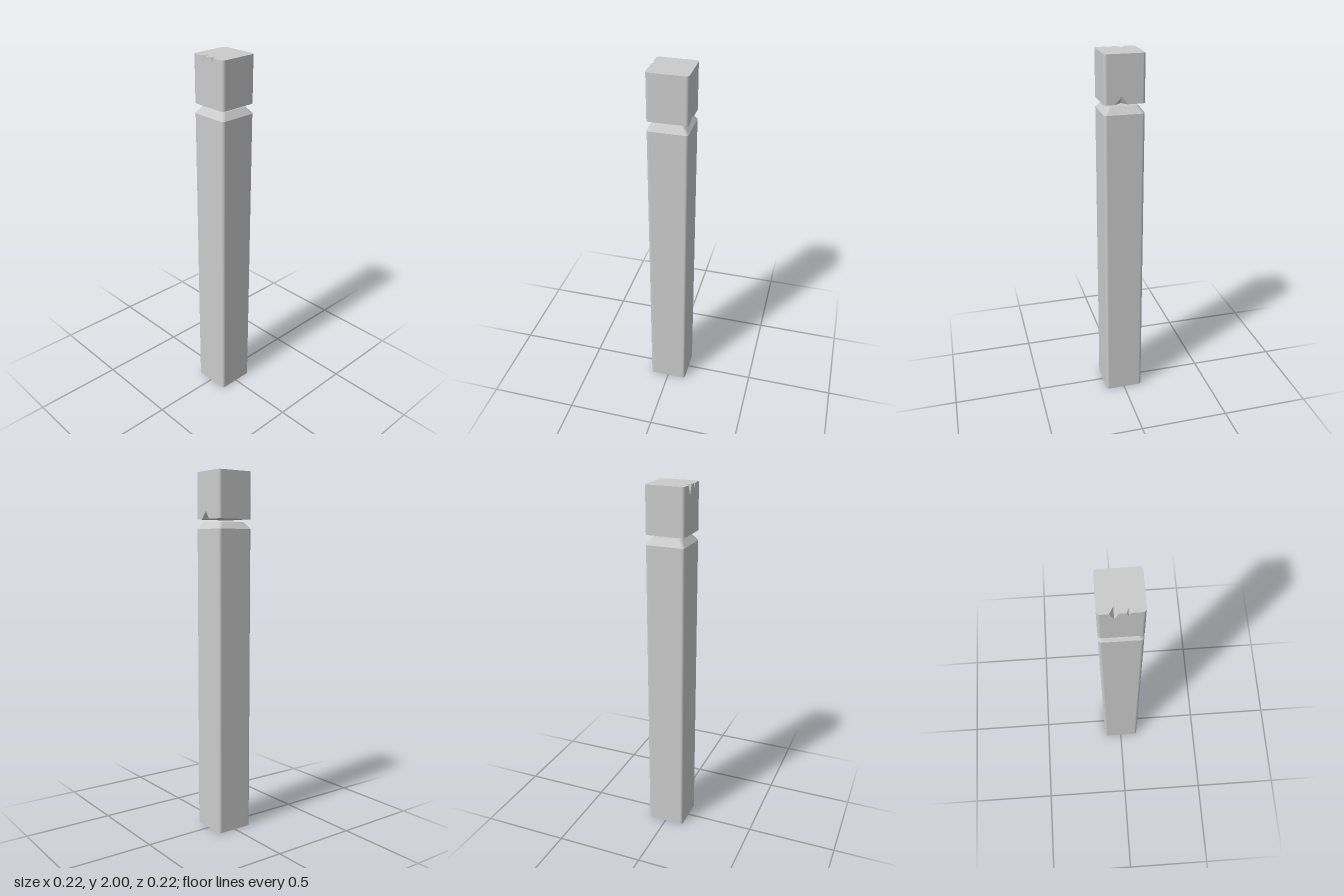
import * as THREE from 'three';
import { mergeGeometries } from 'three/addons/utils/BufferGeometryUtils.js';

const HALF = 0.108, RADIUS = 0.016, STEPS = 6;
const HEAD_BOTTOM = 1.748, HEAD_TOP = 2;

// Rounded square ring, running from +x through +z, -x and -z
function ring(half, r) {
  const points = [];
  for (let k = 0; k < 4; k++) {
    const mid = (k + 0.5) * Math.PI / 2;
    const cx = Math.sign(Math.cos(mid)) * (half - r), cz = Math.sign(Math.sin(mid)) * (half - r);
    for (let i = 0; i <= STEPS; i++) {
      const a = (k + i / STEPS) * Math.PI / 2, nx = Math.cos(a), nz = Math.sin(a);
      points.push({ x: cx + r * nx, z: cz + r * nz, nx, nz });
    }
  }
  return points;
}

function makeGeometry(positions, normals) {
  const g = new THREE.BufferGeometry();
  g.setAttribute('position', new THREE.Float32BufferAttribute(positions, 3));
  if (normals) g.setAttribute('normal', new THREE.Float32BufferAttribute(normals, 3));
  else g.computeVertexNormals();
  return g;
}

// Wall between two rings with smooth corners; skip lists segments left open
function band(halfA, yA, halfB, yB, skip = []) {
  const A = ring(halfA, RADIUS), B = ring(halfB, RADIUS);
  const positions = [], normals = [];
  const put = (p, y) => {
    const n = new THREE.Vector3(p.nx * (yB - yA), halfA - halfB, p.nz * (yB - yA)).normalize();
    positions.push(p.x, y, p.z);
    normals.push(n.x, n.y, n.z);
  };
  for (let i = 0; i < A.length; i++) {
    if (skip.includes(i)) continue;
    const j = (i + 1) % A.length;
    put(A[j], yA); put(A[i], yA); put(B[i], yB);
    put(A[j], yA); put(B[i], yB); put(B[j], yB);
  }
  return makeGeometry(positions, normals);
}

// Flat polygon facing +z
function flat(points) {
  const g = new THREE.ShapeGeometry(new THREE.Shape(points.map(([x, y]) => new THREE.Vector2(x, y)))).toNonIndexed();
  g.deleteAttribute('uv');
  return g;
}

// Horizontal cap facing up, optionally cut by notches on its front edge
function cap(half, y, notches = []) {
  const outline = ring(half, RADIUS).map(p => [p.x, -p.z]);
  const cuts = notches.flatMap(n => [[n.x1, -half], [n.tip, n.depth - half], [n.x0, -half]]);
  outline.splice(STEPS + 1, 0, ...cuts);
  return flat(outline).rotateX(-Math.PI / 2).translate(0, y, 0);
}

// Cap plus front wall of the head, with the notches chipped from their shared edge
// (notches are ordered from +x to -x)
function notchedSide(h, notches) {
  const w = HALF - RADIUS;
  const wall = [[-w, -h], [w, -h], [w, h]];
  const facets = [];
  for (const { x0, tip, x1, depth, height } of notches) {
    wall.push([x1, h], [tip, h - height], [x0, h]);
    const low = [tip, h - height, HALF], inner = [tip, h, HALF - depth];
    facets.push(x0, h, HALF, ...low, ...inner, x1, h, HALF, ...inner, ...low);
  }
  wall.push([-w, h]);
  return mergeGeometries([
    cap(HALF, h, notches),
    flat(wall).translate(0, 0, HALF),
    makeGeometry(facets),
  ]);
}

export function createModel() {
  const model = new THREE.Group();
  const material = new THREE.MeshStandardMaterial({ color: 0xcccccc });
  const add = (name, geometry) => {
    const mesh = new THREE.Mesh(geometry, material);
    mesh.name = name;
    model.add(mesh);
    return mesh;
  };

  // Long shaft with a bevelled shoulder
  add('shaft', mergeGeometries([
    band(HALF, 0, HALF, 1.695),
    band(HALF, 1.695, 0.08, 1.733),
    cap(0.08, 1.733),
    cap(HALF, 0).rotateX(Math.PI),
  ]));

  // Separate block above the gap, chipped at front top and back bottom
  const h = (HEAD_TOP - HEAD_BOTTOM) / 2;
  const topNotches = [
    { x0: 0.023, tip: 0.031, x1: 0.04, depth: 0.026, height: 0.03 },
    { x0: -0.053, tip: -0.032, x1: -0.011, depth: 0.036, height: 0.054 },
  ];
  const bottomNotches = [{ x0: -0.013, tip: 0.015, x1: 0.053, depth: 0.036, height: 0.042 }];
  const frontSegment = STEPS, backSegment = 3 * STEPS + 2;
  add('head', mergeGeometries([
    band(HALF, -h, HALF, h, [frontSegment, backSegment]),
    notchedSide(h, topNotches),
    notchedSide(h, bottomNotches).rotateX(Math.PI),
  ])).position.y = HEAD_BOTTOM + h;

  return model;
}
